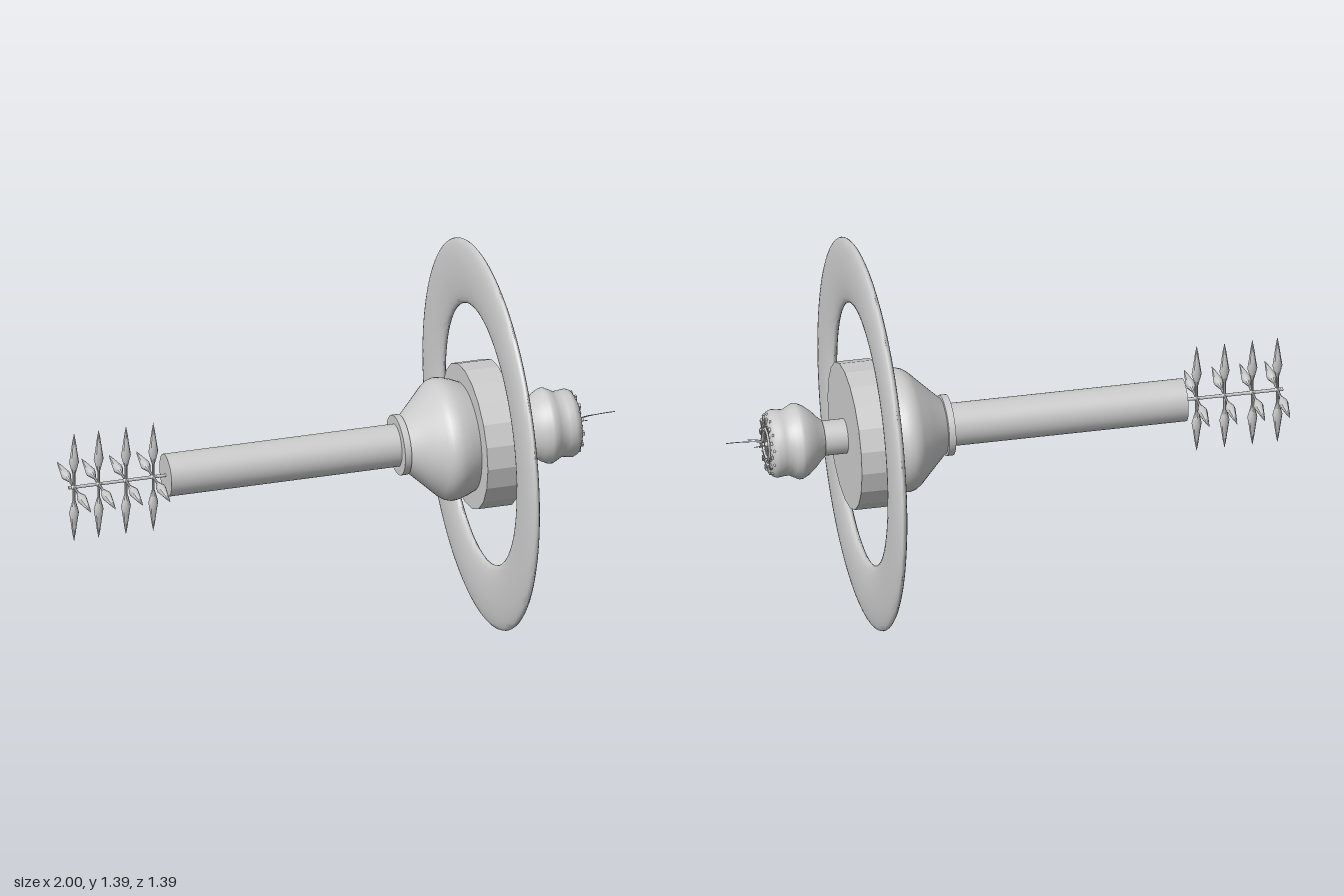
import * as THREE from 'three';
import { toCreasedNormals } from 'three/addons/utils/BufferGeometryUtils.js';

const material = new THREE.MeshStandardMaterial({ color: 0xcccccc });

export function createModel() {
  const model = new THREE.Group();
  model.name = 'staff';

  // Everything is turned about a local y axis, which is then laid along +x.
  const axis = new THREE.Group();
  axis.name = 'turnedParts';
  axis.rotation.z = -Math.PI / 2;
  axis.position.y = 0.7;
  model.add(axis);

  const add = (name, geometry, parent = axis) => {
    const mesh = new THREE.Mesh(geometry, material);
    mesh.name = name;
    parent.add(mesh);
    return mesh;
  };
  // profile: [radius, distance along the axis], from low to high
  const turned = (name, profile, sides = 48, crease = 0.6, parent = axis) =>
    add(name, toCreasedNormals(new THREE.LatheGeometry(
      profile.map(([r, y]) => new THREE.Vector2(r, y)), sides), crease), parent);
  const rod = (name, r, from, to, sides = 32) => {
    const mesh = add(name, new THREE.CylinderGeometry(r, r, to - from, sides));
    mesh.position.y = (from + to) / 2;
    return mesh;
  };

  // Shaft, thin spine and neck
  rod('shaft', 0.076, -0.645, 0.21);
  rod('spine', 0.006, -1, -0.64, 8);
  rod('neck', 0.062, 0.56, 0.67);

  // Slightly oval bell with its collar and the faceted drum
  turned('bell', [
    [0, 0.198], [0.105, 0.198], [0.105, 0.222], [0.097, 0.224], [0.106, 0.235],
    [0.15, 0.282], [0.196, 0.33], [0.208, 0.347], [0.214, 0.368], [0.212, 0.39],
    [0.203, 0.42], [0.188, 0.455], [0, 0.455],
  ]).scale.z = 1.118;
  const drum = rod('drum', 0.255, 0.45, 0.573, 20);
  drum.geometry = toCreasedNormals(drum.geometry, 0.1);
  drum.scale.z = 1.118;

  // Large flattened ring
  const ringSection = [];
  for (let i = 0; i <= 32; i++) {
    const a = (i / 32) * Math.PI * 2;
    ringSection.push([0.58 + 0.116 * Math.cos(a), 0.51 + 0.025 * Math.sin(a)]);
  }
  turned('ring', ringSection, 96, 1);

  // Knob with a recessed, rimmed face
  turned('knob', [
    [0, 0.655], [0.068, 0.655], [0.078, 0.668], [0.1, 0.688], [0.122, 0.715],
    [0.134, 0.738], [0.135, 0.75], [0.126, 0.768], [0.117, 0.785], [0.118, 0.805],
    [0.121, 0.828], [0.115, 0.842], [0.1, 0.852], [0.076, 0.857], [0.07, 0.85],
    [0.062, 0.85], [0.058, 0.86], [0.05, 0.86], [0.046, 0.85], [0, 0.85],
  ]);

  // Rings, slots and beads decorating the knob face
  [[0.04, 0.003], [0.028, 0.003], [0.066, 0.003]].forEach(([r, tube]) => {
    const band = add('faceBand', new THREE.TorusGeometry(r, tube, 6, 36));
    band.rotation.x = Math.PI / 2;
    band.position.y = 0.853;
  });
  const around = (name, count, radius, height, geometry, offset = 0) => {
    for (let i = 0; i < count; i++) {
      const a = ((i + offset) / count) * Math.PI * 2;
      const mesh = add(name, geometry);
      mesh.position.set(radius * Math.sin(a), height, radius * Math.cos(a));
      mesh.rotation.y = a;
    }
  };
  around('faceStud', 12, 0.092, 0.855, new THREE.BoxGeometry(0.013, 0.008, 0.02));
  around('faceBead', 12, 0.108, 0.847, new THREE.SphereGeometry(0.005, 8, 6), 0.5);
  around('faceBead', 12, 0.083, 0.855, new THREE.SphereGeometry(0.004, 8, 6), 0.5);
  around('centreTick', 12, 0.034, 0.852, new THREE.BoxGeometry(0.003, 0.005, 0.008));
  add('centreStud', new THREE.SphereGeometry(0.01, 12, 8)).position.y = 0.852;

  // Hair-thin whiskers on the face: [end x, end y, end z]
  [[1, 0.02, 0], [0.92, 0.021, 0.006], [0.9, -0.004, -0.006], [0.88, -0.015, 0.008]]
    .forEach(([x, y, z]) => {
      const path = new THREE.QuadraticBezierCurve3(
        new THREE.Vector3(0, 0.85, 0),
        new THREE.Vector3(-y, 0.87, z),
        new THREE.Vector3(-y, x, z));
      add('whisker', new THREE.TubeGeometry(path, 10, 0.0015, 5));
    });

  // Four crosses of leaf-shaped blades along the spine
  const blade = [
    [0, 0], [0.005, 0.002], [0.005, 0.05], [0.009, 0.064],
    [0.018, 0.098], [0.013, 0.13], [0.006, 0.18], [0, 0.212],
  ];
  [-0.98, -0.89, -0.79, -0.69].forEach((x) => {
    const cross = new THREE.Group();
    cross.name = 'bladeCross';
    cross.position.set(x, 0.7, 0);
    for (let i = 0; i < 4; i++) {
      turned('blade', blade, 8, 0.9, cross).rotation.x = (i * Math.PI) / 2;
    }
    const hub = add('bladeHub', new THREE.SphereGeometry(0.009, 10, 8), cross);
    hub.scale.x = 1.5;
    model.add(cross);
  });

  return model;
}
